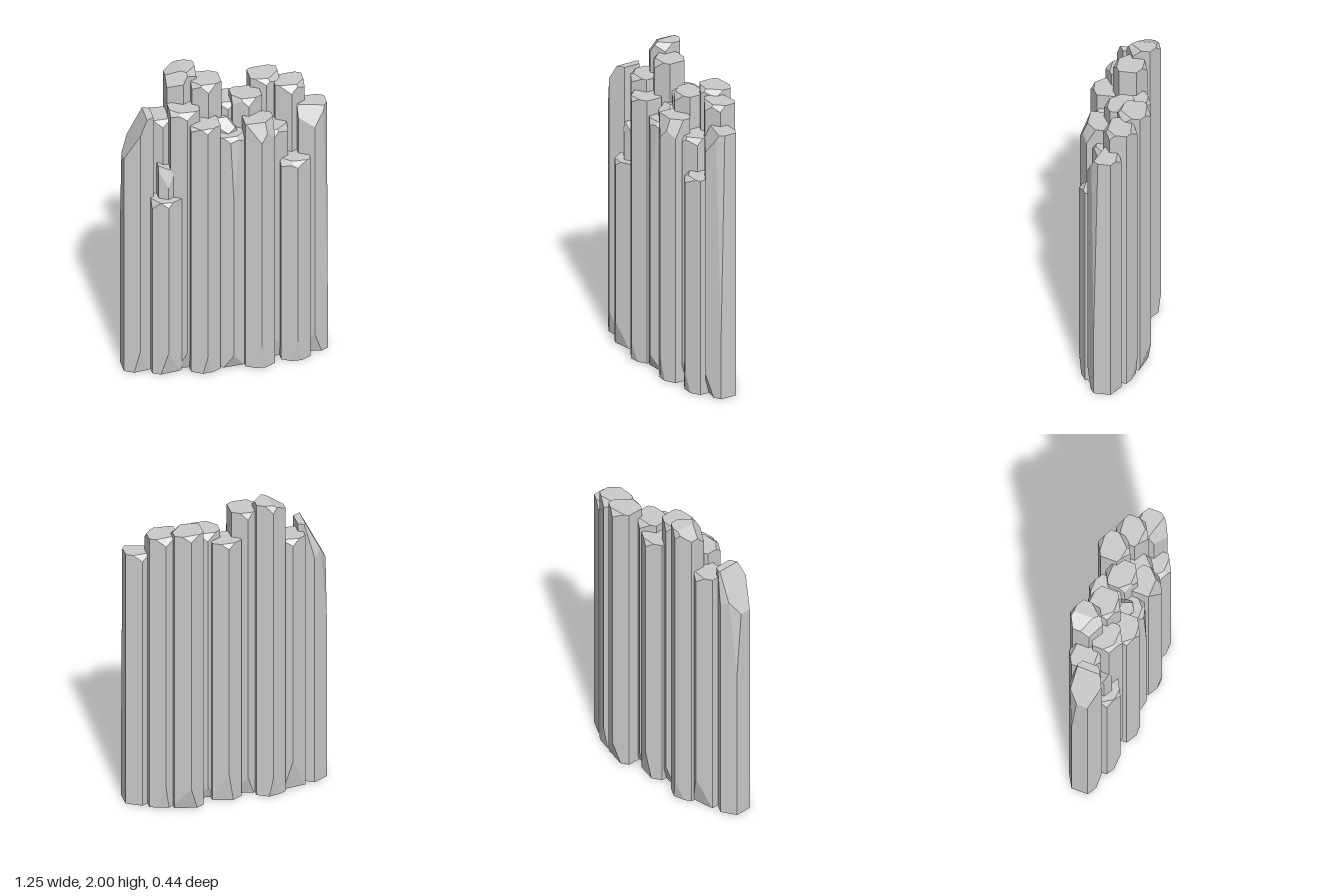
import * as THREE from 'three';
import { ConvexGeometry } from 'three/addons/geometries/ConvexGeometry.js';

const R = 0.104; // corner radius of a hexagonal column
const rad = THREE.MathUtils.degToRad;

// Small seeded generator for the natural wear of the rims
function seeded(seed) {
  return (min, max) => {
    seed = (seed * 16807) % 2147483647;
    return min + (max - min) * (seed / 2147483647);
  };
}

// How far a hexagon with corners towards +z and -z reaches in a direction
function reach(deg, r) {
  let best = 0;
  for (let k = 0; k < 6; k++) best = Math.max(best, r * Math.cos(rad(deg - 30 - k * 60)));
  return best;
}

// Convex solid bounded by planes (normals pointing outwards)
function solidFromPlanes(planes) {
  const points = [];
  const m = new THREE.Matrix3();
  for (let i = 0; i < planes.length; i++)
    for (let j = i + 1; j < planes.length; j++)
      for (let k = j + 1; k < planes.length; k++) {
        const [a, b, c] = [planes[i], planes[j], planes[k]];
        m.set(...a.normal.toArray(), ...b.normal.toArray(), ...c.normal.toArray());
        if (Math.abs(m.determinant()) < 1e-4) continue;
        const p = new THREE.Vector3(-a.constant, -b.constant, -c.constant).applyMatrix3(m.invert());
        if (planes.every((q) => q.distanceToPoint(p) < 1e-6) &&
            points.every((q) => q.distanceTo(p) > 1e-4)) points.push(p);
      }
  return new ConvexGeometry(points);
}

// Hexagonal prism with chipped ends. A chip is [angle, inset, drop]: it starts
// `drop` away from the end on the side and cuts `inset` inwards at the end face.
// Angles: 0 = +x, 90 = +z (front).
function columnGeometry(y0, y1, r, topChips, baseChips) {
  const planes = [];
  const add = (nx, ny, nz, px, py, pz) => planes.push(new THREE.Plane().setFromNormalAndCoplanarPoint(
    new THREE.Vector3(nx, ny, nz).normalize(), new THREE.Vector3(px, py, pz)));
  const chip = ([deg, inset, drop], end, dir) => {
    const c = Math.cos(rad(deg)), s = Math.sin(rad(deg)), d = reach(deg, r);
    add(c * drop, dir * inset, s * drop, c * d, end - dir * drop, s * d);
  };
  add(0, 1, 0, 0, y1, 0);
  add(0, -1, 0, 0, y0, 0);
  for (let k = 0; k < 6; k++) {
    const c = Math.cos(rad(k * 60)), s = Math.sin(rad(k * 60)), d = r * Math.cos(Math.PI / 6);
    add(c, 0, s, c * d, 0, s * d);
  }
  topChips.forEach((t) => chip(t, y1, 1));
  baseChips.forEach((b) => chip(b, y0, -1));
  return solidFromPlanes(planes);
}

// Three rows of columns, each as x, z, height
const ROWS = {
  backColumn: [[-0.385, -0.05, 1.72], [-0.25, -0.095, 2], [-0.11, -0.035, 1.94], [0.02, -0.08, 1.77],
    [0.135, -0.02, 1.82], [0.265, -0.12, 1.88], [0.405, -0.06, 1.85]],
  middleColumn: [[-0.535, 0.01, 1.77], [-0.255, 0.035, 1.8], [0.285, 0.025, 1.61], [0.53, 0.015, 1.72]],
  frontColumn: [[-0.375, 0.07, 1.21], [-0.145, 0.105, 1.72], [0.02, 0.08, 1.62], [0.185, 0.115, 1.71],
    [0.41, 0.085, 1.4]],
};

// Larger breaks at the top of single columns
const BREAKS = {
  backColumn2: [[180, 0.09, 0.045], [135, 0.07, 0.1]],
  middleColumn1: [[180, 0.135, 0.27], [250, 0.05, 0.22], [215, 0.03, 0.7]],
  middleColumn4: [[105, 0.065, 0.12], [35, 0.015, 1.3]],
  frontColumn3: [[75, 0.014, 0.42]],
  frontColumn4: [[90, 0.05, 0.12], [45, 0.04, 0.11]],
};

export function createModel() {
  const model = new THREE.Group();
  model.name = 'basaltColumns';
  const material = new THREE.MeshStandardMaterial({ color: 0xcccccc, flatShading: true });
  const place = (name, x, z, geometry) => {
    const mesh = new THREE.Mesh(geometry, material);
    mesh.name = name;
    mesh.position.set(x, 0, z);
    model.add(mesh);
  };

  // Columns: worn front and back rims, one worn side, and a chipped outer foot
  const random = seeded(71);
  for (const [row, columns] of Object.entries(ROWS)) {
    const outward = row === 'backColumn' ? 270 : 90;
    columns.forEach(([x, z, height], i) => {
      const name = row + (i + 1);
      const wear = [90, 270, random(0, 1) < 0.5 ? 40 : 140].map((deg) =>
        [deg + random(-8, 8), random(0.02, 0.04), random(0.025, 0.05)]);
      const foot = [[outward + random(-15, 15), random(0.015, 0.04), random(0.08, 0.2)]];
      place(name, x, z, columnGeometry(0, height, R, [...wear, ...(BREAKS[name] ?? [])], foot));
    });
  }

  // Splinters left standing behind the broken front columns
  place('leftSplinter', -0.365, 0.055,
    columnGeometry(1.15, 1.43, 0.062, [[20, 0.1, 0.05], [90, 0.04, 0.14]], []));
  place('middleSplinter', 0.005, 0.045,
    columnGeometry(1.55, 1.69, 0.065, [[90, 0.08, 0.07], [0, 0.05, 0.06]], []));
  return model;
}
